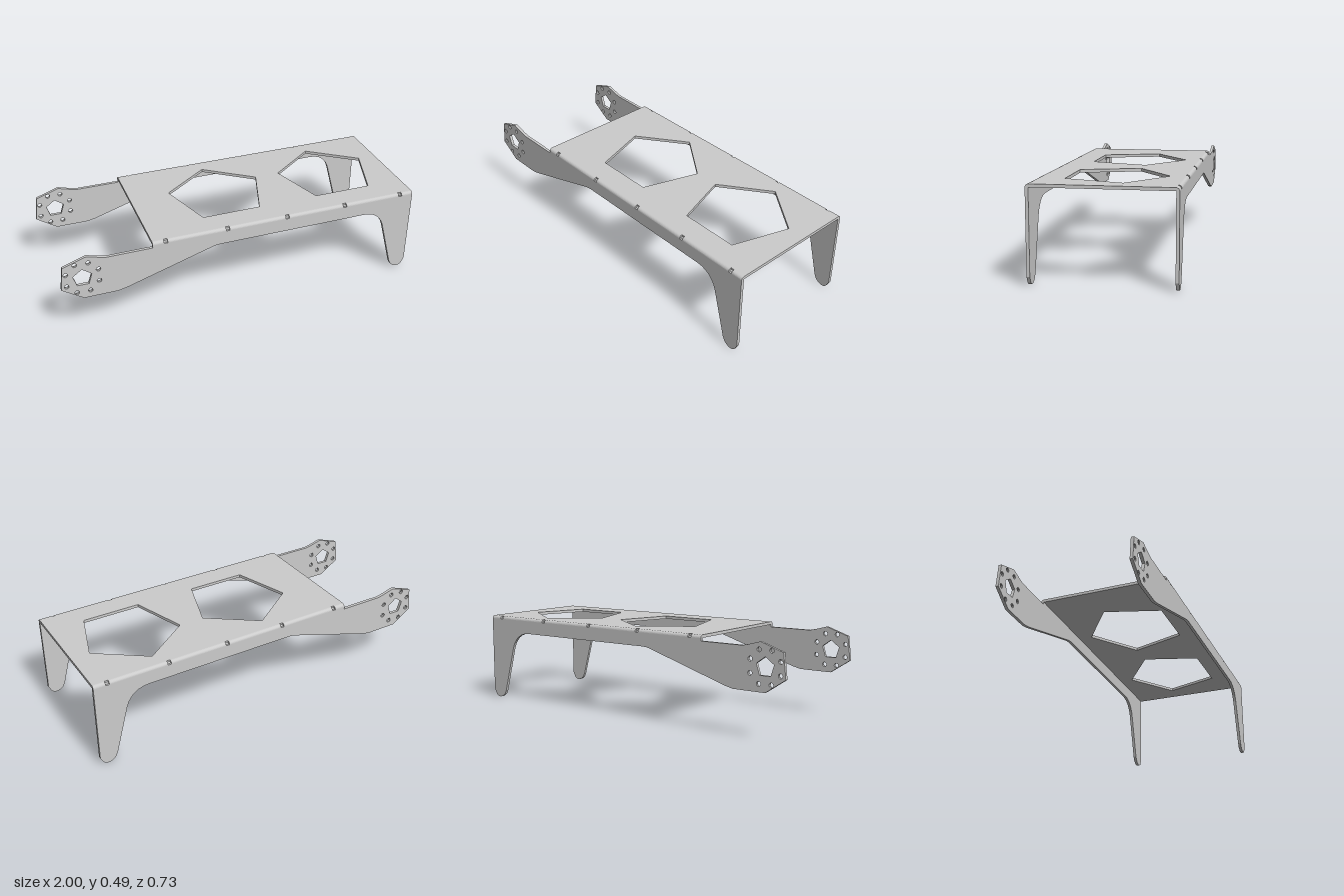
import * as THREE from 'three';

const T = 0.0165;       // sheet thickness
const ZI = 0.3495;      // inner face of the side flanges
const YI = 0.477;       // underside of the top plate
const X0 = -0.512, X1 = 1;

const v = (x, y) => new THREE.Vector2(x, y);

// Regular polygon as a hole path
function polygon(cx, cy, r, n, start) {
  const pts = [];
  for (let i = 0; i < n; i++) {
    const a = start + (i / n) * Math.PI * 2;
    pts.push(v(cx + r * Math.cos(a), cy + r * Math.sin(a)));
  }
  return new THREE.Path(pts);
}

const extrude = (shape, depth) =>
  new THREE.ExtrudeGeometry(shape, { depth, bevelEnabled: false });

// Side flange: mounting head, tapering arm, rail and front leg
function flangeGeometry() {
  const outline = [
    [-1, 0.315], [-0.888, 0.24], [-0.705, 0.24], [-0.66, 0.25], [-0.19, 0.395],
    [-0.165, 0.401], [-0.14, 0.403], [0.7, 0.403], [0.735, 0.4], [0.765, 0.39],
    [0.79, 0.374], [0.808, 0.353], [0.82, 0.335], [0.83, 0.31], [0.902, 0.045],
    [0.913, 0.022], [0.93, 0.007], [0.95, 0], [0.968, 0.002], [0.983, 0.012],
    [1, 0.045], [1, YI], [X0, YI], [X0, 0.463], [-0.755, 0.463],
    [-0.79, 0.471], [-0.858, 0.49], [-0.985, 0.447],
  ];
  const shape = new THREE.Shape(outline.map(([x, y]) => v(x, y)));
  const cx = -0.886, cy = 0.366;
  shape.holes.push(polygon(cx, cy, 0.052, 5, Math.PI / 2));
  for (let i = 0; i < 8; i++) {
    const a = ((i + 0.5) * Math.PI) / 4;
    shape.holes.push(polygon(cx + 0.092 * Math.cos(a), cy + 0.092 * Math.sin(a), 0.0125, 10, 0));
  }
  return extrude(shape, T);
}

// Top plate with two pentagonal cut-outs
function plateGeometry() {
  const shape = new THREE.Shape([v(X0, -ZI), v(X1, -ZI), v(X1, ZI), v(X0, ZI)]);
  for (const cx of [-0.027, 0.635]) shape.holes.push(polygon(cx, 0, 0.275, 5, Math.PI / 2));
  return extrude(shape, T).rotateX(-Math.PI / 2).translate(0, YI, 0);
}

// Quarter-round piece of the bend between two x positions
function bendGeometry(side, xa, xb, r) {
  const pts = [v(-side * ZI, YI)];
  for (let i = 0; i <= 6; i++) {
    const a = (i / 6) * Math.PI / 2;
    pts.push(v(-side * (ZI + r * Math.cos(a)), YI + r * Math.sin(a)));
  }
  return extrude(new THREE.Shape(pts), xb - xa).rotateY(Math.PI / 2).translate(xa, 0, 0);
}

export function createModel() {
  const group = new THREE.Group();
  const material = new THREE.MeshStandardMaterial({ color: 0xcccccc });
  const add = (name, geometry) => {
    const mesh = new THREE.Mesh(geometry, material);
    mesh.name = name;
    group.add(mesh);
    return mesh;
  };

  add('topPlate', plateGeometry());

  const flange = flangeGeometry();
  add('frontFlange', flange).position.z = ZI;
  add('backFlange', flange).position.z = -ZI - T;

  // Rounded bends interrupted by five small pressed notches
  const half = 0.01;
  for (const side of [1, -1]) {
    const label = side > 0 ? 'front' : 'back';
    let x = X0;
    for (let i = 0; i < 5; i++) {
      const c = -0.44 + i * 0.341;
      add(label + 'Bend', bendGeometry(side, x, c - half, T));
      add(label + 'BendNotch', bendGeometry(side, c - half, c + half, T * 0.4));
      x = c + half;
    }
    add(label + 'Bend', bendGeometry(side, x, X1, T));
  }
  return group;
}
